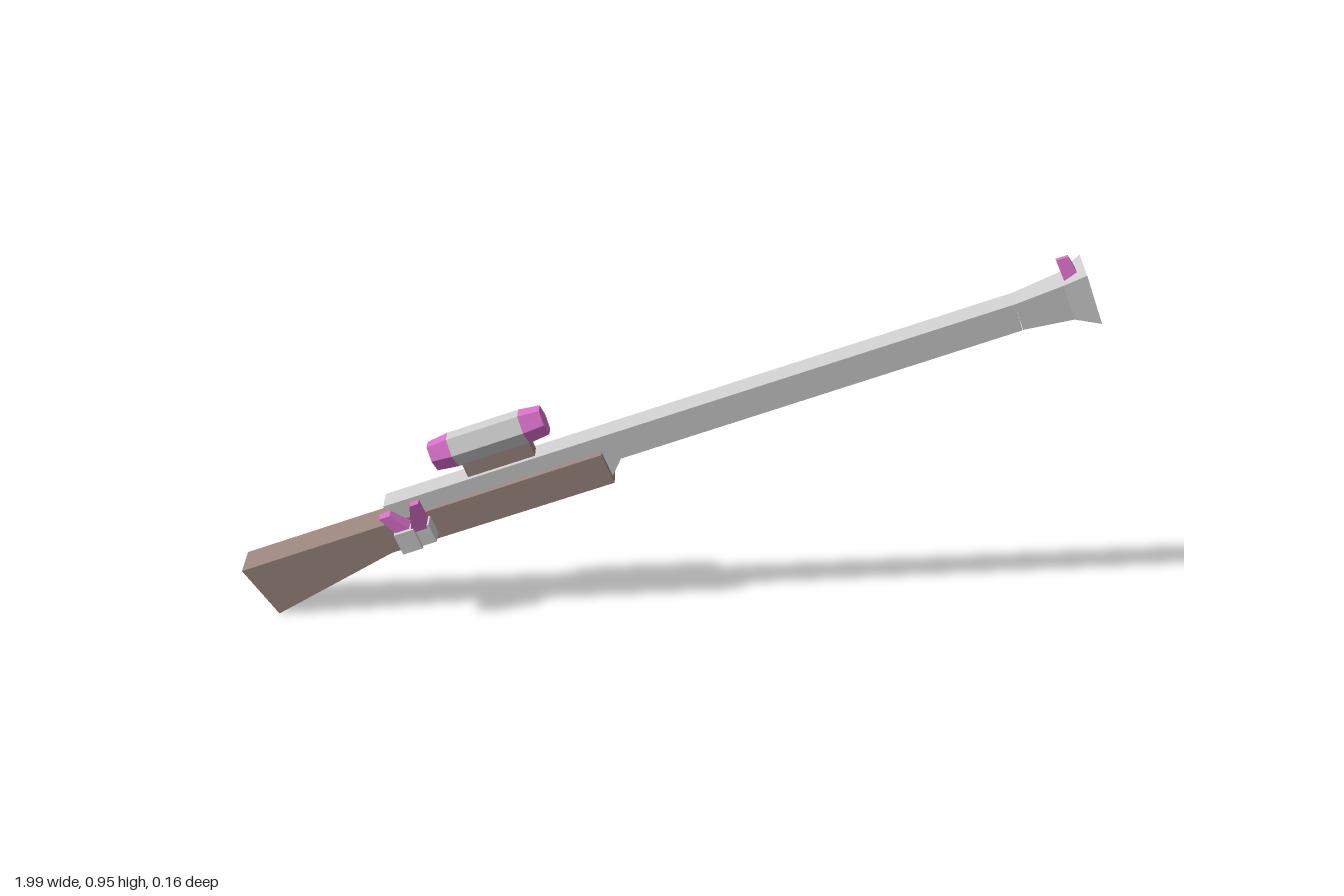
import * as THREE from 'three';

const TILT = 0.36;                       // slope of the whole gun
const ZC = -0.022;                       // centre plane of the gun
const D = new THREE.Vector3(Math.cos(TILT), Math.sin(TILT), 0);   // along the barrel
const U = new THREE.Vector3(-Math.sin(TILT), Math.cos(TILT), 0);  // up from the barrel
const Z = new THREE.Vector3(0, 0, 1);

const material = (color) => new THREE.MeshStandardMaterial({ color, flatShading: true });

export function createModel() {
  const gun = new THREE.Group();
  gun.name = 'longGun';
  const metal = material(0xcccccc);
  const wood = material(0x99857d);
  const accent = material(0xd870c8);

  const add = (name, geometry, mat) => {
    const mesh = new THREE.Mesh(geometry, mat);
    mesh.name = name;
    gun.add(mesh);
    return mesh;
  };

  // Side profile extruded evenly about the centre plane
  const slab = (name, points, halfWidth, mat) => {
    const shape = new THREE.Shape(points.map(([x, y]) => new THREE.Vector2(x, y)));
    const geo = new THREE.ExtrudeGeometry(shape, { depth: halfWidth * 2, bevelEnabled: false });
    add(name, geo.translate(0, 0, ZC - halfWidth), mat);
  };

  // Closed solid through rings of equal point count
  const loft = (name, rings, mat) => {
    const pos = [];
    const tri = (...v) => v.forEach((p) => pos.push(p.x, p.y, p.z));
    const n = rings[0].length;
    for (let r = 0; r + 1 < rings.length; r++) {
      const a = rings[r], b = rings[r + 1];
      for (let i = 0; i < n; i++) {
        const j = (i + 1) % n;
        tri(a[i], a[j], b[j]);
        tri(a[i], b[j], b[i]);
      }
    }
    const first = rings[0], last = rings[rings.length - 1];
    for (let i = 1; i + 1 < n; i++) {
      tri(first[0], first[i + 1], first[i]);
      tri(last[0], last[i], last[i + 1]);
    }
    const geo = new THREE.BufferGeometry();
    geo.setAttribute('position', new THREE.Float32BufferAttribute(pos, 3));
    geo.computeVertexNormals();
    add(name, geo, mat);
  };

  // Cross-section square to the barrel, from [up, z] pairs
  const section = (x, y, pairs, hu, hz) => pairs.map(([u, z]) =>
    new THREE.Vector3(x, y, ZC).addScaledVector(U, u * hu).addScaledVector(Z, z * hz));
  const SQUARE = [[1, -1], [1, 1], [-1, 1], [-1, -1]];
  const HEX = [[1, -0.5], [1, 0.5], [0, 1], [-1, 0.5], [-1, -0.5], [0, -1]];

  // Upright tapered peg; each end is [x, y, z, halfLength, halfWidth]
  const peg = (name, ...ends) => loft(name, ends.map(([x, y, z, hd, hz]) =>
    [[1, 1], [1, -1], [-1, -1], [-1, 1]].map(([d, w]) =>
      new THREE.Vector3(x, y, z + w * hz).addScaledVector(D, d * hd))), accent);

  // Wooden stock and fore-end
  slab('stock', [[-1, 0.125], [-0.92, 0.002], [-0.635, 0.18], [-0.1, 0.38], [-0.13, 0.455]], 0.042, wood);

  // Receiver and barrel in one profile
  slab('barrel', [[-0.65, 0.302], [-0.625, 0.25], [-0.105, 0.39], [-0.085, 0.438],
    [0.823, 0.78], [0.8, 0.845]], 0.029, metal);

  // Flared muzzle
  loft('muzzle', [
    section(0.812, 0.813, SQUARE, 0.034, 0.029),
    section(0.92, 0.853, SQUARE, 0.045, 0.035),
    section(0.972, 0.87, SQUARE, 0.0635, 0.055),
  ], metal);
  peg('frontSight', [0.925, 0.9, ZC, 0.017, 0.017], [0.9, 0.947, ZC, 0.014, 0.005]);

  // Scope: hexagonal tube with tapered coloured ends, on a block
  const scopeRing = (s, hu, hz) => {
    const c = new THREE.Vector3(-0.396, 0.475, 0).addScaledVector(D, s);
    return section(c.x, c.y, HEX, hu, hz);
  };
  loft('scopeTube', [scopeRing(-0.09, 0.038, 0.034), scopeRing(0.09, 0.038, 0.034)], metal);
  loft('scopeRearEnd', [scopeRing(-0.142, 0.033, 0.027), scopeRing(-0.09, 0.038, 0.034)], accent);
  loft('scopeFrontEnd', [scopeRing(0.09, 0.038, 0.034), scopeRing(0.142, 0.033, 0.027)], accent);
  const box = (name, x, y, z, size, mat) => {
    const mesh = add(name, new THREE.BoxGeometry(...size), mat);
    mesh.position.set(x, y, z);
    mesh.rotation.z = TILT;
  };
  box('scopeMount', -0.37, 0.418, ZC, [0.17, 0.07, 0.036], wood);

  // Lock blocks and cocks on the model's front side
  box('rearLockBlock', -0.587, 0.243, 0.035, [0.05, 0.056, 0.07], metal);
  box('frontLockBlock', -0.546, 0.256, 0.03, [0.036, 0.05, 0.06], metal);
  peg('rearCock', [-0.597, 0.265, 0.042, 0.018, 0.018], [-0.642, 0.302, 0.045, 0.014, 0.013]);
  peg('frontCock', [-0.56, 0.27, 0.041, 0.02, 0.021], [-0.567, 0.351, 0.069, 0.011, 0.01]);

  return gun;
}
